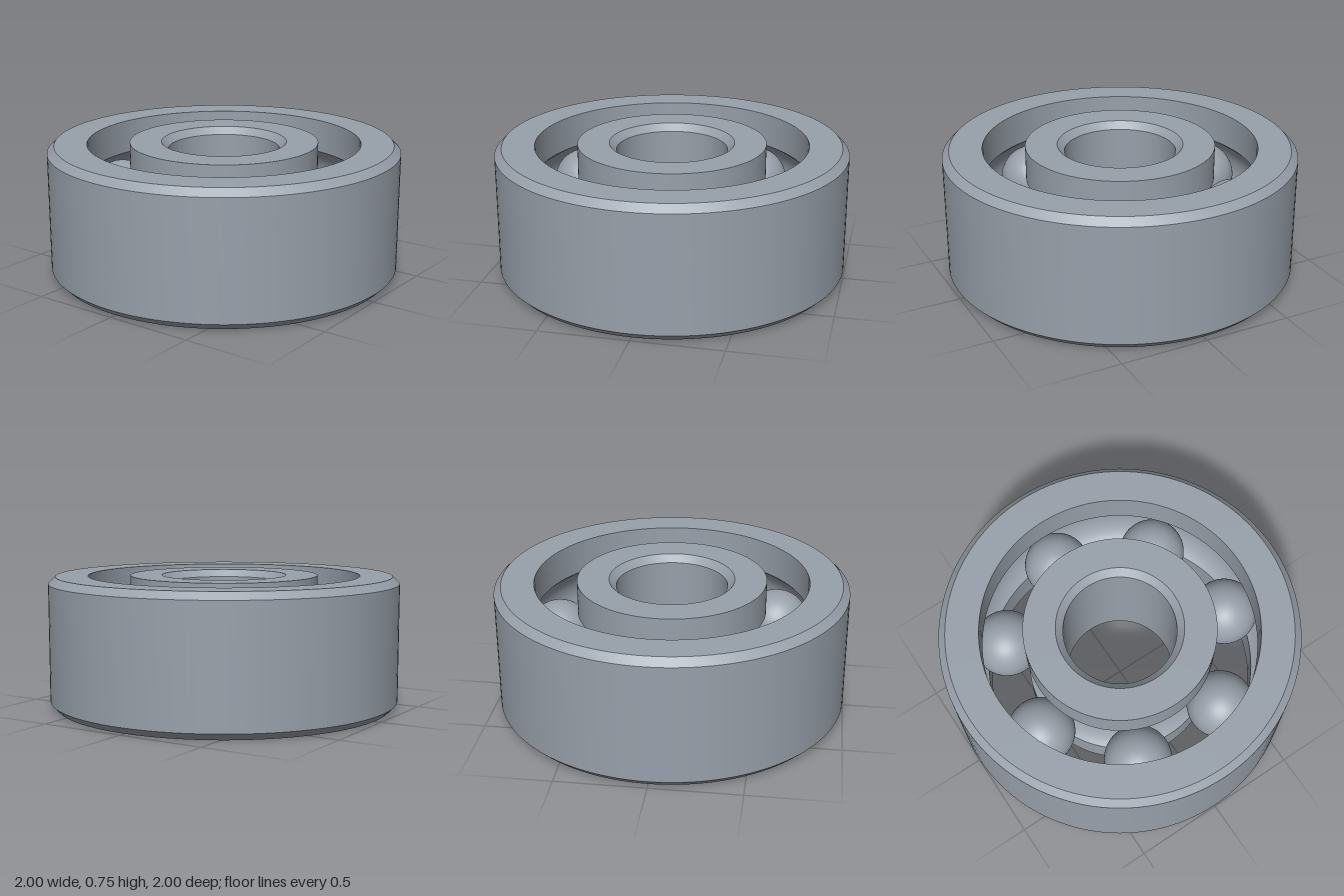
import * as THREE from 'three';
import { toCreasedNormals } from 'three/addons/utils/BufferGeometryUtils.js';

const HEIGHT = 0.75, MID = HEIGHT / 2;
const PITCH = 0.655;            // radius of the circle of ball centres
const BALL_RADIUS = 0.191, BALLS = 7;
const GROOVE_RADIUS = 0.216, GROOVE_ANGLE = Math.atan2(0.18, 0.12);
const CHAMFER = 0.04;

// Points of a raceway groove, as an arc around the ball centre
function groove(from, to, steps = 20) {
  return Array.from({ length: steps + 1 }, (_, i) => {
    const a = from + (to - from) * i / steps;
    return [PITCH + GROOVE_RADIUS * Math.cos(a), MID + GROOVE_RADIUS * Math.sin(a)];
  });
}

// Closed ring turned from a counter-clockwise [radius, y] profile
function ring(name, profile, material) {
  const points = [...profile, profile[0]].map(([r, y]) => new THREE.Vector2(r, y));
  const geometry = toCreasedNormals(new THREE.LatheGeometry(points, 128), Math.PI / 7);
  const mesh = new THREE.Mesh(geometry, material);
  mesh.name = name;
  return mesh;
}

export function createModel() {
  const model = new THREE.Group();
  model.name = 'ballBearing';
  const steel = new THREE.MeshStandardMaterial({ color: 0x98a0aa });
  steel.name = 'steel grey';

  // Outer ring: chamfered outside, grooved inside
  model.add(ring('outerRing', [
    [0.775, 0], [1 - CHAMFER, 0], [1, CHAMFER],
    [1, HEIGHT - CHAMFER], [1 - CHAMFER, HEIGHT], [0.775, HEIGHT],
    ...groove(GROOVE_ANGLE, -GROOVE_ANGLE),
  ], steel));

  // Inner ring: grooved outside, chamfered bore
  const bore = 0.315;
  model.add(ring('innerRing', [
    [bore + CHAMFER, 0], [0.535, 0],
    ...groove(Math.PI + GROOVE_ANGLE, Math.PI - GROOVE_ANGLE),
    [0.535, HEIGHT], [bore + CHAMFER, HEIGHT],
    [bore, HEIGHT - CHAMFER], [bore, CHAMFER],
  ], steel));

  // Balls, spaced evenly in the raceway
  const balls = new THREE.Group();
  balls.name = 'balls';
  const ballGeometry = new THREE.SphereGeometry(BALL_RADIUS, 48, 32);
  for (let i = 0; i < BALLS; i++) {
    const a = i / BALLS * Math.PI * 2 - 0.016;
    const ball = new THREE.Mesh(ballGeometry, steel);
    ball.name = `ball${i + 1}`;
    ball.position.set(PITCH * Math.sin(a), MID, -PITCH * Math.cos(a));
    balls.add(ball);
  }
  model.add(balls);
  return model;
}
